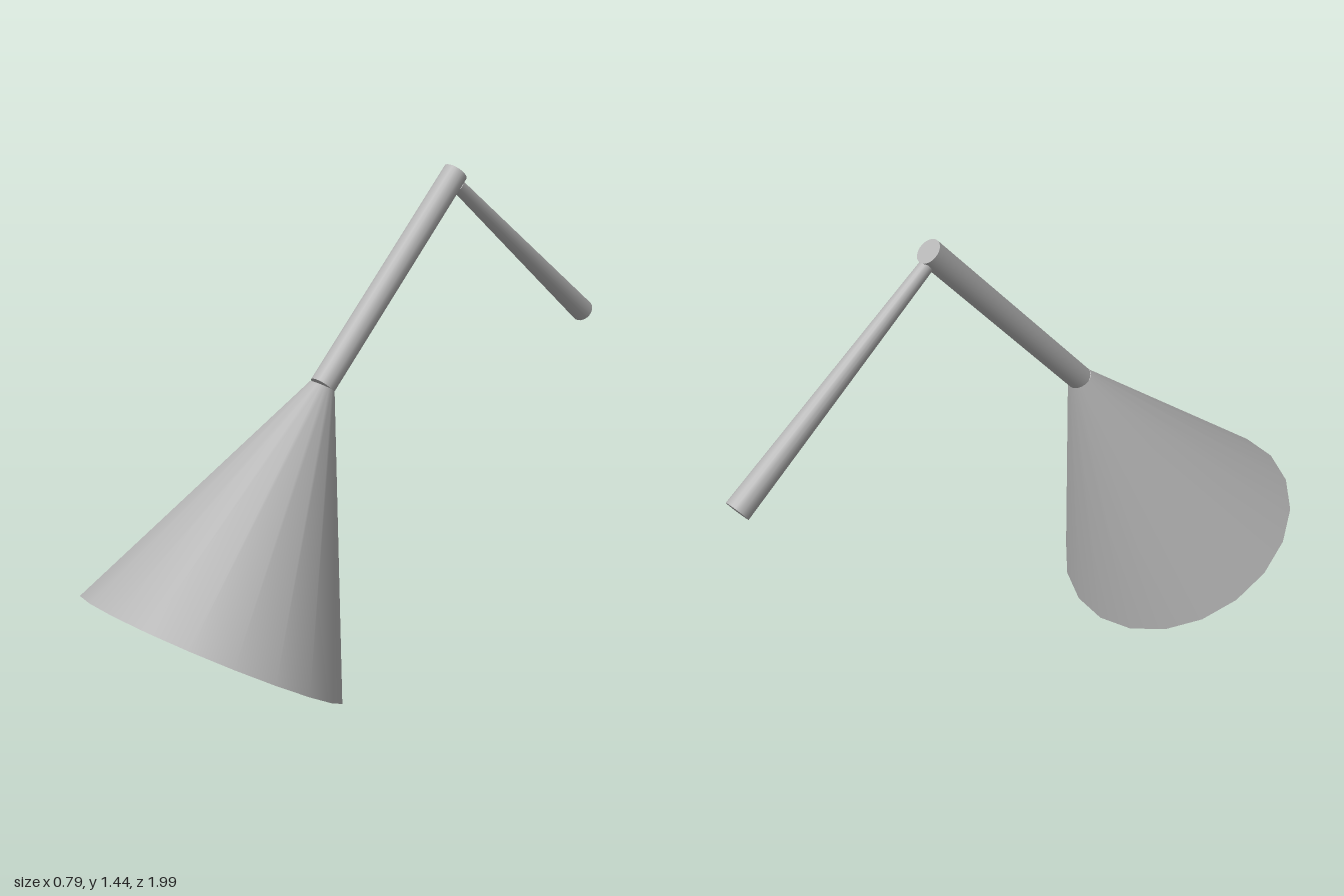
import * as THREE from 'three';

export function createModel() {
  const group = new THREE.Group();
  const grey = new THREE.MeshStandardMaterial({ color: 0xb4b4b4 });
  grey.name = 'grey';

  // Closed tapered rod between two points [y, z] on the centre plane
  function rod(name, from, to, rFrom, rTo) {
    const a = new THREE.Vector3(0, ...from);
    const b = new THREE.Vector3(0, ...to);
    const dir = b.clone().sub(a);
    const mesh = new THREE.Mesh(
      new THREE.CylinderGeometry(rTo, rFrom, dir.length(), 20), grey);
    mesh.name = name;
    mesh.position.copy(a).add(b).multiplyScalar(0.5);
    // Lean about x only, so the facets stay aligned with the centre plane
    mesh.rotation.x = Math.atan2(dir.z, dir.y);
    group.add(mesh);
  }

  // Conical shade, tilted forward
  rod('shade', [0.221, 0.668], [0.888, 0.227], 0.397, 0.038);
  // Upper arm rising from the shade to the joint
  rod('upperArm', [0.888, 0.227], [1.417, -0.328], 0.038, 0.038);
  // Rear arm, thickening towards its free end
  rod('rearArm', [1.377, -0.337], [0.855, -0.972], 0.021, 0.037);

  return group;
}
